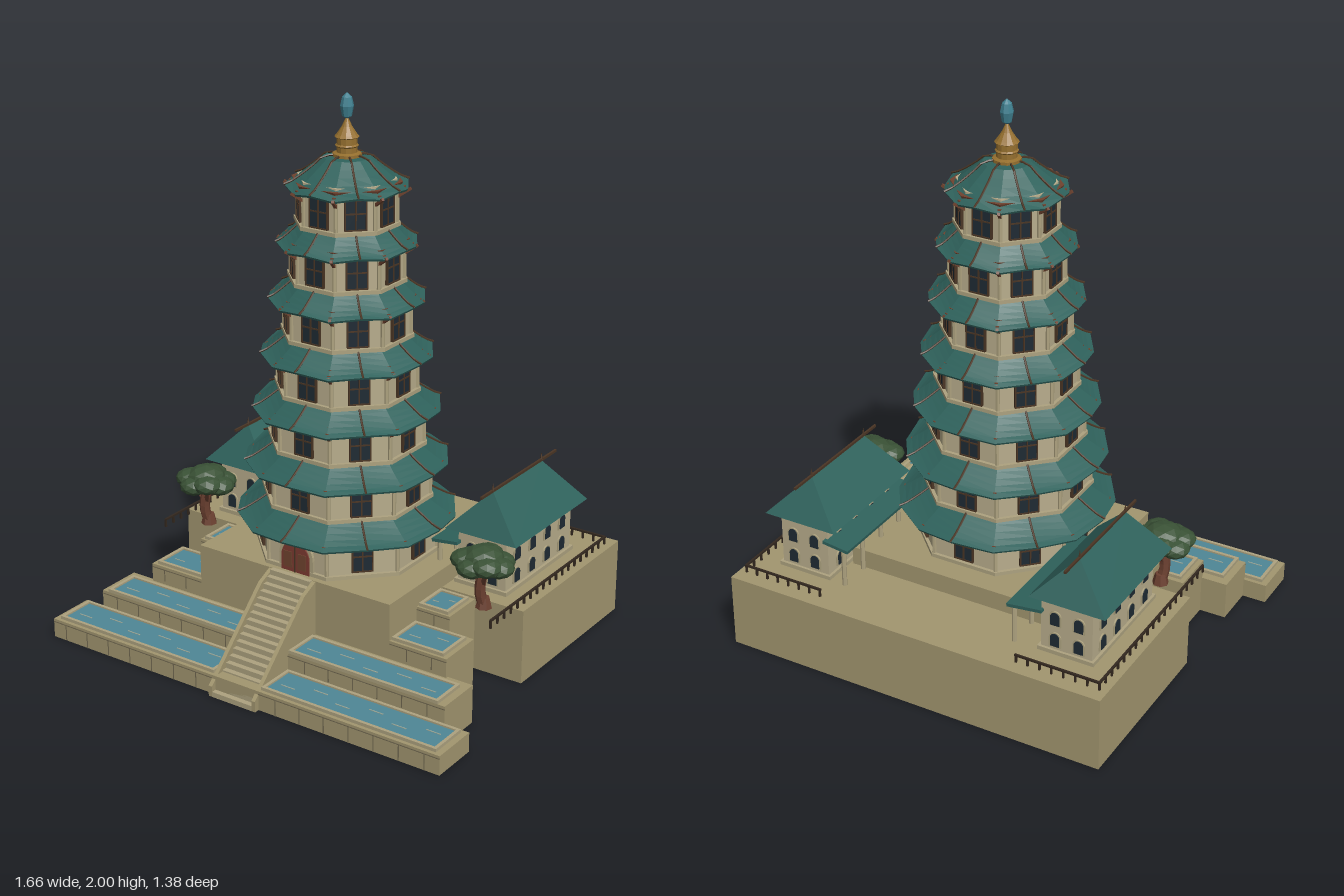
import * as THREE from 'three';

const mat = (color) => new THREE.MeshStandardMaterial({ color, flatShading: true, roughness: 0.9, side: THREE.DoubleSide });
const M = {
  stone: mat(0xa2966f), pale: mat(0xada27f), wall: mat(0xb8ad8c), joint: mat(0x6f664f),
  roof: mat(0x2f625c), ridge: mat(0x4a3524), wood: mat(0x70432f), dark: mat(0x1e2a33),
  door: mat(0x7c3a30), water: mat(0x4f8796), ripple: mat(0x9aa89a), gold: mat(0x96702f),
  gem: mat(0x3f8090), leaf: mat(0x3a5236), trunk: mat(0x6b4030), rail: mat(0x33281f),
};

function add(parent, name, geo, material, x = 0, y = 0, z = 0) {
  const m = new THREE.Mesh(geo, material);
  m.name = name;
  m.position.set(x, y, z);
  parent.add(m);
  return m;
}
// Box given by its limits on each axis
function span(parent, name, material, x0, x1, y0, y1, z0, z1) {
  return add(parent, name, new THREE.BoxGeometry(Math.abs(x1 - x0), y1 - y0, z1 - z0), material,
    (x0 + x1) / 2, (y0 + y1) / 2, (z0 + z1) / 2);
}
function group(parent, name) {
  const g = new THREE.Group();
  g.name = name;
  parent.add(g);
  return g;
}
// Round-headed panel standing on y = 0 and facing +z
function archGeo(w, h, depth) {
  const s = new THREE.Shape();
  s.moveTo(-w / 2, 0).lineTo(w / 2, 0).lineTo(w / 2, h - w / 2);
  s.absarc(0, h - w / 2, w / 2, 0, Math.PI, false);
  s.closePath();
  return new THREE.ExtrudeGeometry(s, { depth, bevelEnabled: false, curveSegments: 8 });
}

// Sunken pool: rim, water and ripple lines
function pool(parent, x0, x1, z0, z1, y) {
  const g = group(parent, 'pool'), r = 0.012, t = y + 0.012;
  span(g, 'water', M.water, x0, x1, y, y + 0.006, z0, z1);
  span(g, 'rim', M.pale, x0 - r, x1 + r, y, t, z0 - r, z0);
  span(g, 'rim', M.pale, x0 - r, x1 + r, y, t, z1, z1 + r);
  span(g, 'rim', M.pale, x0 - r, x0, y, t, z0, z1);
  span(g, 'rim', M.pale, x1, x1 + r, y, t, z0, z1);
  const n = Math.max(2, Math.round((x1 - x0) / 0.12)), step = (x1 - x0) / n;
  for (let i = 0; i < n; i++) {
    const x = x0 + step * (i + 0.25), z = z0 + (z1 - z0) * (i % 2 ? 0.35 : 0.62);
    span(g, 'ripple', M.ripple, x, x + step * 0.5, y + 0.006, y + 0.008, z, z + 0.004);
  }
}

function buildBase(root) {
  const g = group(root, 'terraces');
  span(g, 'courtyard', M.stone, -0.74, 0.74, 0, 0.28, -0.69, 0);
  span(g, 'towerPlatform', M.stone, -0.41, 0.41, 0, 0.35, -0.4, 0.335);
  span(g, 'lowerTerrace', M.stone, -0.83, 0.83, 0, 0.072, 0.49, 0.67);
  span(g, 'secondTerrace', M.stone, -0.74, 0.74, 0, 0.143, 0.325, 0.5);
  for (const s of [-1, 1]) {
    const side = (a, b) => (s < 0 ? [-b, -a] : [a, b]);
    span(g, 'thirdTerrace', M.stone, ...side(0.4, 0.64), 0, 0.213, 0.16, 0.335);
    span(g, 'upperTerrace', M.stone, ...side(0.4, 0.545), 0, 0.272, -0.01, 0.165);
    pool(g, ...side(0.115, 0.795), 0.517, 0.645, 0.072);
    pool(g, ...side(0.115, 0.7), 0.372, 0.488, 0.143);
    pool(g, ...side(0.425, 0.61), 0.19, 0.313, 0.213);
    pool(g, ...side(0.425, 0.52), 0.03, 0.145, 0.272);
    // Block joints on the front faces
    for (const [x0, x1, y0, y1, z] of [[0.1, 0.83, 0, 0.06, 0.67], [0.1, 0.74, 0.085, 0.13, 0.5],
      [0.41, 0.64, 0.155, 0.2, 0.335], [0.41, 0.545, 0.22, 0.26, 0.165]]) {
      span(g, 'jointLine', M.joint, s * x0, s * x1, y1, y1 + 0.003, z - 0.002, z + 0.002);
      for (let x = x0 + 0.07; x < x1; x += 0.1)
        span(g, 'blockJoint', M.joint, s * x, s * (x + 0.003), y0, y1, z - 0.002, z + 0.002);
    }
  }
  // Stairway with sloping side walls
  const stairs = group(root, 'stairs'), n = 18;
  for (let i = 0; i < n; i++)
    span(stairs, 'step', M.pale, -0.085, 0.085, 0, 0.35 * (i + 1) / n, 0.33, 0.69 - 0.36 * i / n);
  const s = new THREE.Shape();
  s.moveTo(0.69, 0).lineTo(0.69, 0.04).lineTo(0.4, 0.318).lineTo(0.33, 0.35).lineTo(0.33, 0).closePath();
  for (const x of [-0.085, 0.1])
    add(stairs, 'stairWall', new THREE.ExtrudeGeometry(s, { depth: 0.015, bevelEnabled: false }), M.stone, x).rotation.y = -Math.PI / 2;
}

// Sixteen-sided curved roof with eight raised hips; profile runs from eave to top
function pagodaRoof(parent, y, profile) {
  const g = group(parent, 'roof'), R = profile[0][0];
  g.position.y = y;
  const lift = (r) => 0.012 * Math.max(0, (r / R - 0.7) / 0.3);
  const pts = [[profile.at(-1)[0] * 0.9, 0.015], [R - 0.004, -0.008], ...profile];
  const geo = new THREE.LatheGeometry(pts.map((p) => new THREE.Vector2(...p)), 16);
  const p = geo.attributes.position;
  for (let i = 0; i < p.count; i++) {
    const a = Math.atan2(p.getX(i), p.getZ(i)), r = Math.hypot(p.getX(i), p.getZ(i));
    p.setY(i, p.getY(i) + lift(r) * (Math.cos(8 * a) - 1) / 2);
  }
  add(g, 'roofTiles', geo, M.roof);
  const path = new THREE.CatmullRomCurve3(profile.map(([r, h], i) => new THREE.Vector3(0, h + 0.003, r + (i ? 0 : 0.004))));
  const tube = new THREE.TubeGeometry(path, 8, 0.004, 5);
  for (let k = 0; k < 8; k++) add(g, 'hipRidge', tube, M.ridge).rotation.y = k * Math.PI / 4;
}

function towerWindow(parent, ap, y) {
  const g = group(parent, 'window');
  add(g, 'pane', new THREE.BoxGeometry(0.068, 0.1, 0.014), M.dark, 0, y, ap);
  for (const x of [-0.036, 0, 0.036]) add(g, 'mullion', new THREE.BoxGeometry(0.005, 0.108, 0.02), M.ridge, x, y, ap);
  for (const h of [-0.052, 0.005, 0.052]) add(g, 'windowBar', new THREE.BoxGeometry(0.076, 0.005, 0.02), M.ridge, 0, y + h, ap);
  return g;
}

function buildTower(root) {
  const tower = group(root, 'tower'), C = Math.cos(Math.PI / 8);
  const radii = [0.395, 0.365, 0.335, 0.305, 0.275, 0.245, 0.213];
  const octagon = (parent, name, material, ap, y0, y1, grow = 0) => {
    add(parent, name, new THREE.CylinderGeometry((ap + grow) / C, ap / C, y1 - y0, 8), material, 0, (y0 + y1) / 2).rotation.y = Math.PI / 8;
  };
  radii.forEach((R, i) => {
    const g = group(tower, 'storey' + (i + 1));
    const eave = 0.5 + 0.199 * i, ap = 0.302 - 0.0235 * i, floor = i ? eave - 0.145 : 0.35;
    octagon(g, 'walls', M.wall, ap, floor, eave + 0.02);
    octagon(g, 'footing', M.pale, ap + 0.012, floor, floor + 0.014);
    octagon(g, 'cornice', M.wood, ap + 0.006, eave - 0.018, eave + 0.01, 0.012);
    for (let k = 0; k < 8; k++) {
      const a = k * Math.PI / 4;
      if (i || k) towerWindow(g, ap, eave - 0.073).rotation.y = a;
      // Corner post with a bracket holding up the eave
      const corner = group(g, 'corner');
      corner.rotation.y = a + Math.PI / 8;
      add(corner, 'post', new THREE.CylinderGeometry(0.008, 0.008, eave - floor, 6), M.pale, 0, (eave + floor) / 2, ap / C);
      add(corner, 'bracket', new THREE.BoxGeometry(0.01, 0.01, 0.065), M.wood, 0, eave - 0.03, ap / C + 0.02).rotation.x = -0.6;
      add(corner, 'bracketBeam', new THREE.BoxGeometry(0.012, 0.01, R * 0.95 - ap / C), M.wood, 0, eave - 0.009, (R * 0.95 + ap / C) / 2);
    }
    const top = i < 6 ? [ap - 0.02, 0.062] : [0.082, 0.09];
    const profile = [0, 0.2, 0.4, 0.6, 0.8, 1].map((t) => [R + (top[0] - R) * t, top[1] * Math.pow(t, 1.25)]);
    if (i === 6) profile.push([0.001, 0.094]);
    pagodaRoof(g, eave - 0.003, profile);
  });

  // Arched entrance door
  const door = group(tower, 'door');
  door.position.set(0, 0.35, 0.3);
  add(door, 'doorFrame', archGeo(0.145, 0.13, 0.012), M.pale);
  add(door, 'doorLeaves', archGeo(0.118, 0.115, 0.017), M.door);
  add(door, 'doorSplit', new THREE.BoxGeometry(0.004, 0.112, 0.004), M.ridge, 0, 0.056, 0.018);
  for (const x of [-0.03, 0.03]) add(door, 'doorPanel', new THREE.BoxGeometry(0.035, 0.06, 0.004), M.wood, x, 0.045, 0.018);

  // Gilded finial and jewel
  const turned = (pts) => new THREE.LatheGeometry(pts.map((p) => new THREE.Vector2(...p)), 12);
  add(tower, 'finial', turned([[0.05, 1.782], [0.05, 1.793], [0.036, 1.797], [0.036, 1.815], [0.041, 1.82],
    [0.036, 1.825], [0.036, 1.846], [0.043, 1.85], [0.036, 1.858], [0.018, 1.885], [0.004, 1.915]]), M.gold);
  add(tower, 'jewel', new THREE.LatheGeometry([[0.001, 1.91], [0.017, 1.92], [0.024, 1.955], [0.017, 1.985], [0.001, 2]]
    .map((p) => new THREE.Vector2(...p)), 8), M.gem);
}

// Hipped roof from an eave rectangle up to a ridge along z
function hipRoof(x0, x1, z0, z1, y, xr, zr0, zr1, yr) {
  const a = [x0, y, z1], b = [x1, y, z1], c = [x1, y, z0], d = [x0, y, z0], f = [xr, yr, zr1], k = [xr, yr, zr0];
  const tris = [a, b, f, b, c, k, b, k, f, c, d, k, d, a, f, d, f, k, a, d, c, a, c, b];
  const geo = new THREE.BufferGeometry();
  geo.setAttribute('position', new THREE.Float32BufferAttribute(tris.flat(), 3));
  geo.computeVertexNormals();
  return geo;
}

function buildHall(root, s, porchEdge) {
  const g = group(root, s > 0 ? 'leftHall' : 'rightHall');
  span(g, 'hallWalls', M.wall, s * 0.43, s * 0.625, 0.28, 0.5, -0.525, -0.07);
  span(g, 'hallFooting', M.pale, s * 0.42, s * 0.635, 0.28, 0.295, -0.535, -0.06);
  add(g, 'hallRoof', hipRoof(-0.145, 0.145, -0.545, -0.04, 0.488, 0, -0.455, -0.12, 0.637), M.roof, s * 0.535);
  span(g, 'ridgePole', M.ridge, s * 0.531, s * 0.539, 0.634, 0.643, -0.56, -0.04);
  for (const z of [-0.12, -0.455]) add(g, 'ridgeSpike', new THREE.ConeGeometry(0.006, 0.03, 5), M.ridge, s * 0.535, 0.653, z);
  // Two rows of arched windows on every side
  const arch = archGeo(0.034, 0.05, 0.008), frame = archGeo(0.046, 0.058, 0.005);
  const place = (x, y, z, turn) => {
    const w = group(g, 'archedWindow');
    w.position.set(x, y, z);
    w.rotation.y = turn;
    add(w, 'windowFrame', frame, M.pale, 0, -0.004, 0);
    add(w, 'windowPane', arch, M.dark);
  };
  for (const y of [0.31, 0.395]) {
    for (const z of [-0.14, -0.245, -0.35, -0.455]) {
      place(s * 0.625, y, z, s * Math.PI / 2);
      place(s * 0.43, y, z, -s * Math.PI / 2);
    }
    for (const x of [0.485, 0.575]) {
      place(s * x, y, -0.07, 0);
      place(s * x, y, -0.525, Math.PI);
    }
  }
  // Porch along the courtyard side
  const w = 0.44 - porchEdge;
  add(g, 'porchRoof', new THREE.BoxGeometry(w, 0.012, 0.5), M.roof, s * (porchEdge + w / 2), 0.433, -0.293).rotation.z = s * 0.12;
  for (const z of [-0.53, -0.41, -0.29, -0.17, -0.06])
    add(g, 'porchPillar', new THREE.CylinderGeometry(0.009, 0.009, 0.15, 8), M.pale, s * (porchEdge + 0.025), 0.355, z);
}

function buildRailing(root, s) {
  const g = group(root, 'railing');
  span(g, 'sideRail', M.rail, s * 0.706, s * 0.714, 0.305, 0.312, -0.64, 0.17);
  span(g, 'backRail', M.rail, s * 0.39, s * 0.714, 0.305, 0.312, -0.64, -0.632);
  const post = new THREE.BoxGeometry(0.007, 0.03, 0.007);
  for (let i = 0; i <= 18; i++) add(g, 'railPost', post, M.rail, s * 0.71, 0.294, -0.636 + 0.0447 * i);
  for (let i = 1; i <= 7; i++) add(g, 'railPost', post, M.rail, s * (0.71 - 0.045 * i), 0.294, -0.636);
}

function buildTree(root, s) {
  const g = group(root, 'tree');
  g.position.set(s * 0.605, 0.275, 0.05);
  const bend = new THREE.CatmullRomCurve3([[0, 0, -0.01], [-0.008, 0.07, 0.005], [0.005, 0.16, 0]].map((p) => new THREE.Vector3(...p)));
  add(g, 'trunk', new THREE.TubeGeometry(bend, 6, 0.02, 7), M.trunk);
  add(g, 'trunkFoot', new THREE.CylinderGeometry(0.02, 0.03, 0.04, 7), M.trunk, 0, 0.02, -0.01);
  const blob = (r, x, y, z) => add(g, 'foliage', new THREE.IcosahedronGeometry(r, 1), M.leaf, x, y, z).scale.set(1, 0.62, 1);
  for (let k = 0; k < 7; k++) {
    const a = k * Math.PI * 2 / 7;
    blob(0.056, 0.062 * Math.cos(a), 0.172 + 0.012 * (k % 2), 0.055 * Math.sin(a));
    if (k % 2) add(g, 'branch', new THREE.CylinderGeometry(0.006, 0.01, 0.09, 5), M.trunk,
      0.03 * Math.cos(a), 0.125, 0.03 * Math.sin(a)).rotation.set(0.7 * Math.sin(a), 0, -0.7 * Math.cos(a));
  }
  blob(0.075, 0, 0.192, 0);
}

export function createModel() {
  const root = new THREE.Group();
  root.name = 'pagoda';
  buildBase(root);
  buildTower(root);
  for (const s of [-1, 1]) {
    buildHall(root, s, s < 0 ? 0.305 : 0.335);
    buildRailing(root, s);
    buildTree(root, s);
  }
  return root;
}
